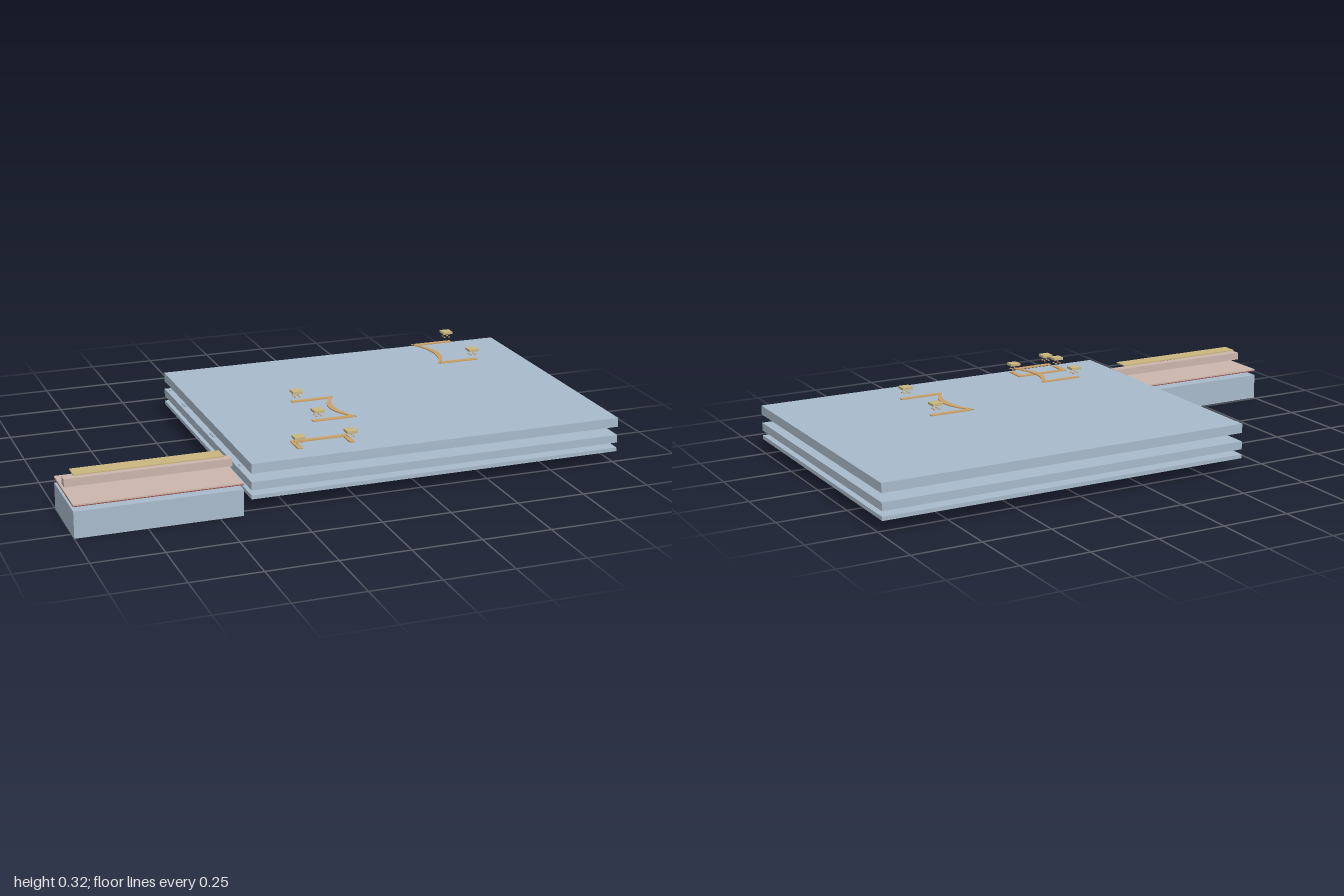
import * as THREE from 'three';

const mat = (name, color, side = THREE.FrontSide) => {
  const m = new THREE.MeshStandardMaterial({ color, side });
  m.name = name;
  return m;
};

export function createModel() {
  const model = new THREE.Group();
  model.name = 'layeredPlates';
  const blue = mat('paleBlue', 0xa8bacb);
  const pink = mat('dustyPink', 0xcbb5ac);
  const red = mat('darkRed', 0x9c4a42);
  const sand = mat('sandGold', 0xcab67f);
  const copper = mat('copper', 0xcba069);

  // Box given by its limits on each axis
  const box = (name, material, [x0, x1], [y0, y1], [z0, z1], parent = model) => {
    const mesh = new THREE.Mesh(new THREE.BoxGeometry(x1 - x0, y1 - y0, z1 - z0), material);
    mesh.position.set((x0 + x1) / 2, (y0 + y1) / 2, (z0 + z1) / 2);
    mesh.name = name;
    parent.add(mesh);
    return mesh;
  };

  // Three large stacked plates
  const plateX = [-0.385, 1], plateZ = [-0.54, 0.525];
  box('bottomPlate', blue, plateX, [0.049, 0.063], plateZ);
  box('middlePlate', blue, plateX, [0.082, 0.111], plateZ);
  box('topPlate', blue, plateX, [0.142, 0.176], plateZ);

  // Thin loops lying between the upper plates
  const y = [0.125, 0.129];
  [[0.075, 0.4, 0.15], [-0.28, 0.065, 0.85], [-0.48, -0.29, 0.6]].forEach(([z0, z1, end]) => {
    const loop = new THREE.Group();
    loop.name = 'innerLoop';
    box('loopNearArm', blue, [-0.385, end], y, [z1 - 0.016, z1], loop);
    box('loopFarArm', blue, [-0.385, end], y, [z0, z0 + 0.016], loop);
    box('loopEnd', blue, [end - 0.016, end], y, [z0 + 0.016, z1 - 0.016], loop);
    model.add(loop);
  });

  // Small side block with its sheet, bar and cover strip
  const sideX = [-1, -0.417], sideZ = [0.26, 0.54];
  box('sideBlock', blue, sideX, [0, 0.095], sideZ);
  box('sheetUnderside', red, sideX, [0.111, 0.114], sideZ);
  box('sideSheet', pink, sideX, [0.114, 0.119], sideZ);
  box('sideBar', pink, sideX, [0.134, 0.162], [0.38, 0.415]);
  box('coverStrip', sand, [-0.97, -0.45], [0.176, 0.18], [0.368, 0.428]);

  // Square contact pad floating over four tiny dots
  const pad = (x, z, top, parent) => {
    const h = 0.019;
    box('pad', sand, [x - h, x + h], [top - 0.009, top], [z - h, z + h], parent);
    for (const sx of [-1, 1]) for (const sz of [-1, 1]) {
      const cx = x + sx * 0.009, cz = z + sz * 0.009;
      box('padDot', copper, [cx - 0.003, cx + 0.003], [top - 0.024, top - 0.021],
        [cz - 0.003, cz + 0.003], parent);
    }
  };

  const t = 0.004, w = 0.009;

  // Straight bracket trace
  const bracket = new THREE.Group();
  bracket.name = 'straightTrace';
  const by = [0.186, 0.19];
  box('traceBar', copper, [-0.19 - w, w], by, [0.386, 0.404], bracket);
  for (const x of [-0.19, 0]) {
    box('traceArm', copper, [x - w, x + w], by, [0.404, 0.469], bracket);
    pad(x, 0.45, 0.228, bracket);
  }
  model.add(bracket);

  // Curved trace: two arms joined by a bowed crescent; dir points from pads to tips
  const curvedTrace = (padX, zMid, half, dir, wireY, padTop) => {
    const g = new THREE.Group();
    g.name = 'curvedTrace';
    const tip = padX + dir * 0.142;
    const e = half + w;
    const s = new THREE.Shape();
    s.moveTo(tip, -e);
    s.quadraticCurveTo(tip - dir * 0.076, 0, tip, e);
    s.lineTo(tip - dir * 0.02, e - 0.018);
    s.quadraticCurveTo(tip - dir * 0.096, 0, tip - dir * 0.02, -e + 0.018);
    s.closePath();
    const geo = new THREE.ExtrudeGeometry(s, { depth: t, bevelEnabled: false, curveSegments: 16 });
    geo.rotateX(Math.PI / 2);
    const bow = new THREE.Mesh(geo, copper);
    bow.position.set(0, wireY + t, zMid);
    bow.name = 'traceBow';
    g.add(bow);
    for (const side of [-1, 1]) {
      const z = zMid + side * half;
      const xs = [padX - dir * 0.019, tip - dir * 0.012].sort((a, b) => a - b);
      box('traceArm', copper, xs, [wireY, wireY + t - 0.0005], [z - w, z + w], g);
      pad(padX, z, padTop, g);
    }
    model.add(g);
  };
  curvedTrace(-0.08, 0.23, 0.11, 1, 0.233, 0.276);
  curvedTrace(0.66, -0.115, 0.12, -1, 0.278, 0.323);

  return model;
}
